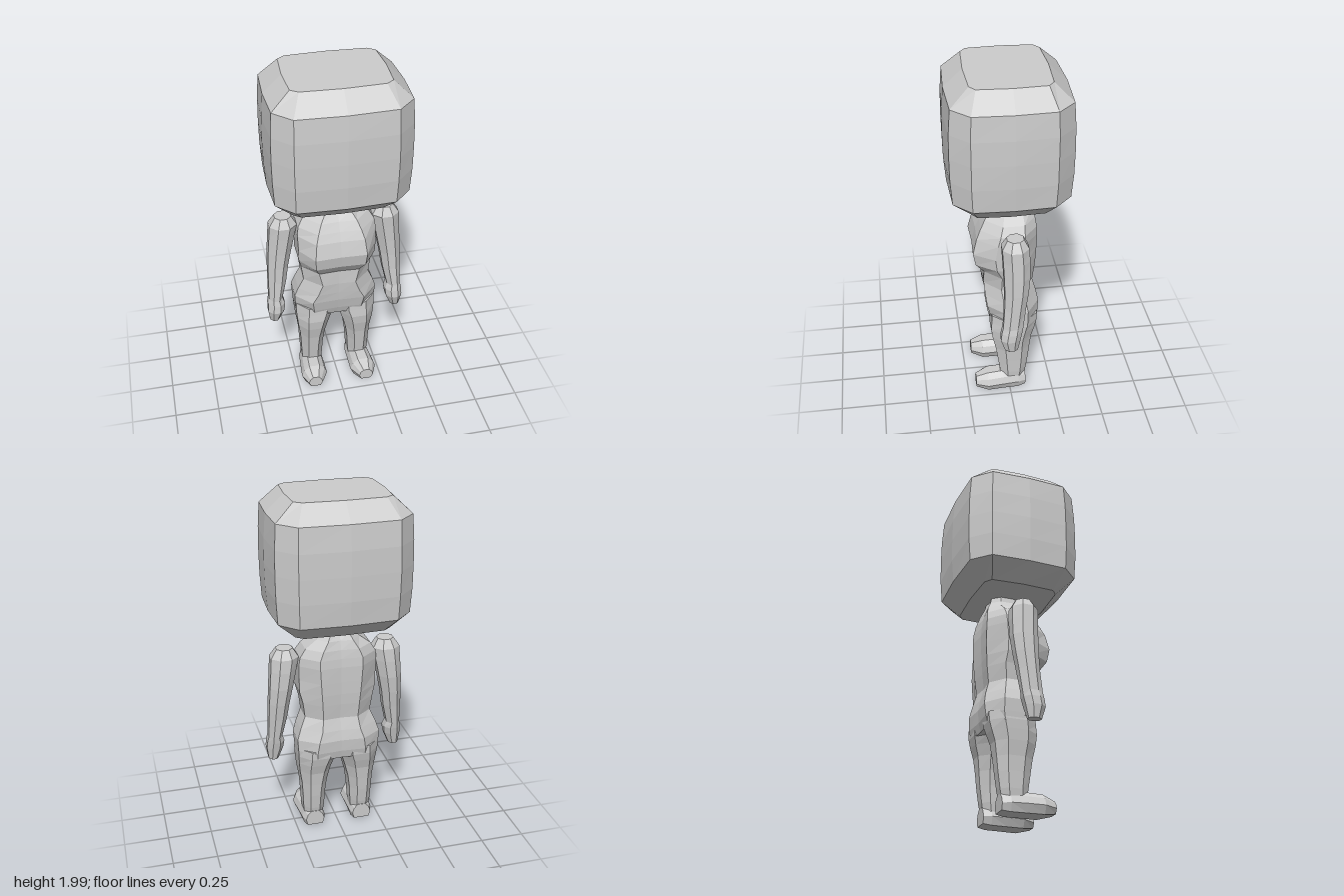
import * as THREE from 'three';

const grey = new THREE.MeshStandardMaterial({ color: 0xcccccc });
grey.name = 'plain grey';

// Skin a stack of rings, each running counter-clockwise about the direction of travel
function loft(name, rings) {
  const pos = [];
  const tri = (a, b, c) => pos.push(...a, ...b, ...c);
  const n = rings[0].length;
  const centre = (r) => [0, 1, 2].map((k) => r.reduce((s, p) => s + p[k], 0) / n);
  const first = rings[0], last = rings[rings.length - 1];
  const c0 = centre(first), c1 = centre(last);
  for (let i = 0; i < n; i++) {
    const j = (i + 1) % n;
    for (let k = 0; k < rings.length - 1; k++) {
      const a = rings[k], b = rings[k + 1];
      tri(a[i], a[j], b[j]);
      tri(a[i], b[j], b[i]);
    }
    tri(c0, first[j], first[i]);
    tri(c1, last[i], last[j]);
  }
  const geo = new THREE.BufferGeometry();
  geo.setAttribute('position', new THREE.Float32BufferAttribute(pos, 3));
  geo.computeVertexNormals(); // unshared corners give flat facets
  const mesh = new THREE.Mesh(geo, grey);
  mesh.name = name;
  return mesh;
}

const mirrorRing = (ring) => ring.map(([x, y, z]) => [-x, y, z]).reverse();

// Build the left part and its mirrored right twin
function pair(group, name, rings) {
  group.add(loft('left' + name, rings));
  group.add(loft('right' + name, rings.map(mirrorRing)));
}

// Bulged box section with cut corners
function headRing([y, x, cx, xm, z, cz, zm]) {
  return [
    [0, y, zm], [cx, y, z], [x, y, cz], [xm, y, 0], [x, y, -cz], [cx, y, -z],
    [0, y, -zm], [-cx, y, -z], [-x, y, -cz], [-xm, y, 0], [-x, y, cz], [-cx, y, z],
  ];
}

// Torso section: half width, front depth, back depth, front and back panel half widths
function torsoRing([y, w, zf, zb, fw, bw]) {
  const m = (zf + zb) / 2, d = (zf - zb) / 2;
  const f = m + d * 0.35, b = m - d * 0.5;
  return [
    [0, y, zf - 0.006], [fw, y, zf], [w, y, f], [w, y, b], [bw, y, zb],
    [0, y, zb + 0.008], [-bw, y, zb], [-w, y, b], [-w, y, f], [-fw, y, zf],
  ];
}

// Leg section: inner x, outer x, front and back depth
function legRing([y, xi, xo, zf, zb]) {
  const c = (xi + xo) / 2, w = (xo - xi) / 2, m = (zf + zb) / 2, d = (zf - zb) / 2;
  return [
    [c - w * 0.45, y, zf], [c + w * 0.45, y, zf], [xo, y, m + d * 0.45], [xo, y, m - d * 0.5],
    [c + w * 0.45, y, zb], [c - w * 0.45, y, zb], [xi, y, m - d * 0.5], [xi, y, m + d * 0.45],
  ];
}

// Arm section: eight sides between the given extents
function armRing([y, x0, x1, z0, z1]) {
  return Array.from({ length: 8 }, (_, i) => {
    const a = (i + 0.5) * Math.PI / 4, k = 0.5 / Math.cos(Math.PI / 8);
    return [(x0 + x1) / 2 + Math.sin(a) * (x1 - x0) * k, y, (z0 + z1) / 2 + Math.cos(a) * (z1 - z0) * k];
  });
}

// Foot section at depth z: centre x, sole and widest half widths, sole and top heights
function footRing([z, c, sw, w, y0, y1]) {
  const ym = y0 + (y1 - y0) * 0.4;
  return [
    [c - sw, y0, z], [c + sw, y0, z], [c + w, ym, z], [c + w * 0.8, y0 + (y1 - y0) * 0.75, z],
    [c + w * 0.4, y1, z], [c - w * 0.4, y1, z], [c - w * 0.8, y0 + (y1 - y0) * 0.75, z], [c - w, ym, z],
  ];
}

export function createModel() {
  const model = new THREE.Group();
  model.name = 'bigHeadFigure';

  // Head
  model.add(loft('head', [
    [1.27, 0.26, 0.22, 0.27, 0.21, 0.18, 0.22],
    [1.365, 0.36, 0.265, 0.37, 0.31, 0.215, 0.322],
    [1.5, 0.368, 0.268, 0.38, 0.32, 0.22, 0.333],
    [1.635, 0.37, 0.27, 0.383, 0.322, 0.22, 0.335],
    [1.77, 0.368, 0.268, 0.38, 0.32, 0.22, 0.333],
    [1.905, 0.36, 0.265, 0.37, 0.31, 0.215, 0.322],
    [2, 0.26, 0.22, 0.27, 0.21, 0.18, 0.22],
  ].map(headRing)));

  // Torso, from crotch to neck
  model.add(loft('torso', [
    [0.48, 0.232, 0.09, -0.155, 0.13, 0.14],
    [0.53, 0.236, 0.108, -0.167, 0.14, 0.14],
    [0.6, 0.24, 0.125, -0.172, 0.15, 0.13],
    [0.66, 0.22, 0.132, -0.16, 0.12, 0.11],
    [0.73, 0.19, 0.138, -0.14, 0.095, 0.1],
    [0.82, 0.202, 0.138, -0.15, 0.115, 0.105],
    [0.885, 0.218, 0.185, -0.155, 0.14, 0.11],
    [0.96, 0.22, 0.2, -0.158, 0.145, 0.115],
    [1.05, 0.222, 0.178, -0.16, 0.135, 0.12],
    [1.1, 0.215, 0.155, -0.157, 0.12, 0.12],
    [1.15, 0.185, 0.128, -0.15, 0.1, 0.1],
    [1.2, 0.12, 0.095, -0.135, 0.07, 0.07],
    [1.24, 0.09, 0.075, -0.115, 0.05, 0.05],
    [1.3, 0.08, 0.068, -0.1, 0.045, 0.045],
  ].map(torsoRing)));

  // Legs
  pair(model, 'Leg', [
    [0.08, 0.085, 0.198, 0.052, -0.088],
    [0.13, 0.08, 0.203, 0.055, -0.098],
    [0.22, 0.075, 0.207, 0.068, -0.11],
    [0.3, 0.065, 0.212, 0.08, -0.118],
    [0.38, 0.045, 0.224, 0.098, -0.128],
    [0.44, 0.026, 0.23, 0.106, -0.146],
    [0.49, 0.003, 0.234, 0.102, -0.158],
    [0.54, 0.003, 0.232, 0.1, -0.16],
  ].map(legRing));

  // Feet, heel to toe
  pair(model, 'Foot', [
    [-0.095, 0.142, 0.045, 0.055, 0.015, 0.105],
    [-0.05, 0.144, 0.055, 0.068, 0.008, 0.12],
    [0.04, 0.147, 0.055, 0.073, 0.008, 0.122],
    [0.13, 0.15, 0.058, 0.077, 0.008, 0.118],
    [0.2, 0.155, 0.028, 0.042, 0.022, 0.09],
  ].map(footRing));

  // Arms and hands
  pair(model, 'Arm', [
    [0.45, 0.333, 0.39, -0.02, 0.052],
    [0.52, 0.305, 0.4, -0.035, 0.075],
    [0.565, 0.3, 0.397, -0.045, 0.07],
    [0.6, 0.312, 0.39, -0.05, 0.062],
    [0.72, 0.285, 0.388, -0.065, 0.053],
    [0.82, 0.27, 0.385, -0.08, 0.05],
    [0.92, 0.25, 0.38, -0.09, 0.052],
    [1.02, 0.23, 0.373, -0.09, 0.056],
    [1.095, 0.215, 0.368, -0.085, 0.06],
    [1.145, 0.245, 0.335, -0.058, 0.032],
  ].map(armRing));

  return model;
}
